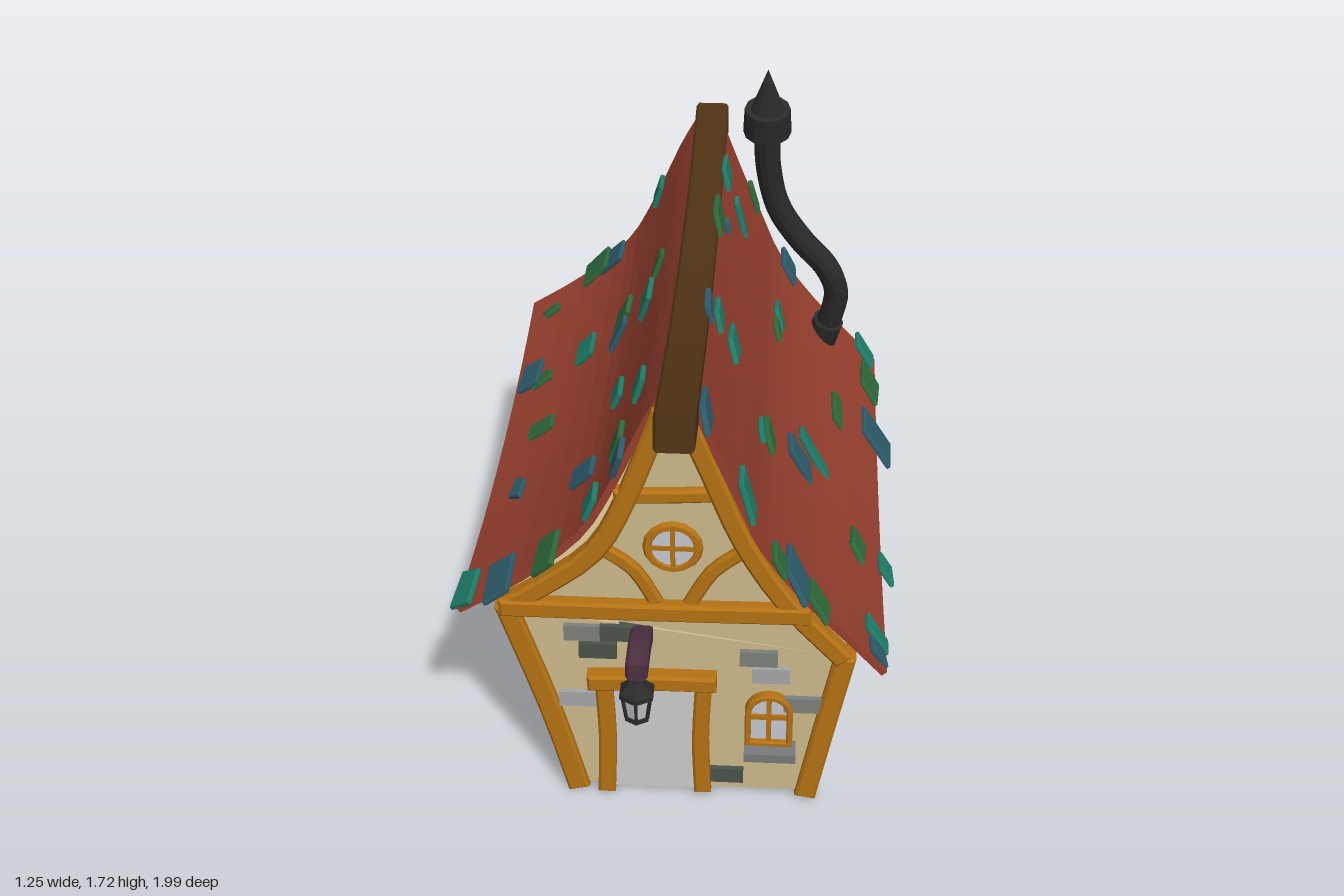
import * as THREE from 'three';

const WOOD = 0xb47214, RED = 0x963f2e, DARK = 0x4f3315, WALL = 0xcbb98c, METAL = 0x2b2b2c, GLASS = 0xc4c7cc;
const STONE = [0x4b534a, 0x7d817a, 0xa6a6a9];
const TILE = [0x1f7f6a, 0x2f6b3c, 0x2e5d6c];
const mats = {};
const mat = (c) => (mats[c] ??= new THREE.MeshStandardMaterial({ color: c, flatShading: true, side: THREE.DoubleSide }));

function add(parent, name, geo, color, x = 0, y = 0, z = 0) {
  const m = new THREE.Mesh(geo, mat(color));
  m.name = name;
  m.position.set(x, y, z);
  parent.add(m);
  return m;
}
const box = (w, h, d) => new THREE.BoxGeometry(w, h, d);
const cyl = (a, b, h, n) => new THREE.CylinderGeometry(a, b, h, n);
const polygon = (pts) => new THREE.Shape(pts.map((p) => new THREE.Vector2(...p)));

// Slab of a shape, centred on z
function slab(shape, depth, bevel = 0, steps = 1) {
  const g = new THREE.ExtrudeGeometry(shape, {
    depth: depth - 2 * bevel, steps, curveSegments: 8,
    bevelEnabled: bevel > 0, bevelSize: bevel, bevelThickness: bevel, bevelOffset: -bevel, bevelSegments: 1,
  });
  return g.translate(0, 0, -depth / 2 + bevel);
}

// Bent plank following a line of points in the xy plane
function beam(pts, width, depth, bevel = 0.008, steps = 1) {
  const curve = new THREE.SplineCurve(pts.map((p) => new THREE.Vector2(...p)));
  const n = pts.length > 2 ? (pts.length - 1) * 3 : 1, a = [], b = [];
  for (let i = 0; i <= n; i++) {
    const p = curve.getPoint(i / n), t = curve.getTangent(i / n);
    a.push([p.x - t.y * width / 2, p.y + t.x * width / 2]);
    b.unshift([p.x + t.y * width / 2, p.y - t.x * width / 2]);
  }
  return slab(polygon([...a, ...b]), depth, bevel, steps);
}

// Interpolate column `out` of a point list from column `key`
function lookup(pts, key, v) {
  const out = 1 - key;
  for (let i = 0; i < pts.length - 1; i++) {
    const [p, q] = [pts[i], pts[i + 1]];
    const t = (v - p[key]) / (q[key] - p[key]);
    if ((t >= 0 && t <= 1) || i === pts.length - 2) return { v: p[out] + (q[out] - p[out]) * Math.min(t, 1.1), p, q };
    if (i === 0 && t < 0) return { v: p[out], p, q };
  }
}

const FRONT = 0.76, BACK = -0.88;
const wallR = [[0.37, 0.015], [0.42, 0.29], [0.47, 0.51]];
const wallL = [[-0.28, 0.015], [-0.36, 0.33], [-0.465, 0.64]];
const rafterR = [[0.02, 1.3], [0.1, 1.1], [0.18, 0.9], [0.3, 0.7], [0.465, 0.51]];
const rafterL = [[-0.03, 1.3], [-0.12, 1.04], [-0.215, 0.85], [-0.37, 0.72], [-0.47, 0.655]];
const roofR = [[0.045, 1.36], [0.11, 1.19], [0.17, 1.05], [0.24, 0.89], [0.36, 0.725], [0.48, 0.595], [0.575, 0.49]];
const roofL = [[-0.025, 1.36], [-0.08, 1.26], [-0.17, 1.06], [-0.26, 0.905], [-0.42, 0.76], [-0.595, 0.645]];
const sag = (z) => 0.07 * (1 - (z / 0.85) ** 2);

function archWindow(w, h) {
  const g = new THREE.Group();
  const arch = (r, bottom) => {
    const s = new THREE.Shape();
    s.moveTo(-r, bottom).lineTo(r, bottom).lineTo(r, h - w / 2);
    s.absarc(0, h - w / 2, r, 0, Math.PI, false);
    return s;
  };
  const t = w * 0.13, frame = arch(w / 2, 0);
  add(g, 'windowGlass', slab(arch(w / 2 - t / 2, t / 2), 0.012), GLASS);
  frame.holes.push(arch(w / 2 - t, t));
  add(g, 'windowFrame', slab(frame, 0.045, 0.004), WOOD);
  add(g, 'windowBar', box(t * 0.8, h - t, 0.03), WOOD, 0, h / 2);
  add(g, 'windowBar', box(w - t, t * 0.8, 0.03), WOOD, 0, h * 0.55);
  add(g, 'windowSill', box(w * 1.08, 0.028, 0.08), 0x77797a, 0.005, -0.01, 0.02);
  return g;
}

function roundWindow() {
  const g = new THREE.Group();
  add(g, 'roundGlass', new THREE.CircleGeometry(0.07, 16), GLASS, 0, 0, 0.006);
  add(g, 'roundFrame', new THREE.TorusGeometry(0.068, 0.014, 6, 16), WOOD);
  add(g, 'roundBar', box(0.013, 0.13, 0.022), WOOD);
  add(g, 'roundBar', box(0.13, 0.013, 0.022), WOOD);
  return g;
}

export function createModel() {
  const house = new THREE.Group();
  house.name = 'cottage';

  // Plaster body and the two gable panels
  add(house, 'walls', slab(polygon([...wallR, ...[...wallL].reverse()]), FRONT - BACK), WALL, 0, 0, (FRONT + BACK) / 2);
  const gable = polygon([...rafterL].reverse().concat(rafterR));
  for (const z of [FRONT - 0.02, BACK + 0.02]) add(house, 'gablePanel', slab(gable, 0.04), WALL, 0, 0, z);

  // Timber frame at each end
  for (const [z, s] of [[FRONT, 1], [BACK, -1]]) {
    const timber = new THREE.Group();
    timber.name = s > 0 ? 'frontTimber' : 'backTimber';
    timber.position.z = z;
    house.add(timber);
    add(timber, 'cornerPost', beam([[0.37, 0], [0.42, 0.27], [0.468, 0.52]], 0.06, 0.08), WOOD, 0, 0, -0.018 * s);
    add(timber, 'cornerPost', beam([[-0.28, 0], [-0.355, 0.3], [-0.465, 0.66]], 0.062, 0.08), WOOD, 0, 0, -0.018 * s);
    add(timber, 'rafter', beam(rafterR, 0.055, 0.05), WOOD, 0, 0, 0.005 * s);
    add(timber, 'rafter', beam(rafterL, 0.055, 0.05), WOOD, 0, 0, 0.005 * s);
    add(timber, 'tieBeam', beam([[-0.48, 0.66], [-0.05, 0.66], [0.37, 0.665]], 0.055, 0.06), WOOD, 0, 0, 0.006 * s);
    add(timber, 'collarBeam', beam([[-0.16, 1.03], [-0.02, 1.035], [0.12, 1.045]], 0.042, 0.045), WOOD);
    add(timber, 'brace', beam([[-0.2, 0.86], [-0.11, 0.79], [-0.05, 0.68]], 0.04, 0.04), WOOD);
    add(timber, 'brace', beam([[0.18, 0.86], [0.1, 0.79], [0.04, 0.68]], 0.04, 0.04), WOOD);
    const win = roundWindow();
    win.name = 'roundWindow';
    win.position.set(-0.005, 0.87, 0.008 * s);
    win.rotation.y = s > 0 ? 0 : Math.PI;
    timber.add(win);
  }

  // Door with its frame
  add(house, 'door', box(0.25, 0.39, 0.02), 0xcccccc, -0.06, 0.21, FRONT);
  add(house, 'doorPost', beam([[-0.2, 0], [-0.193, 0.2], [-0.2, 0.4]], 0.05, 0.06), WOOD, 0, 0, FRONT);
  add(house, 'doorPost', beam([[0.077, 0.01], [0.07, 0.2], [0.078, 0.4]], 0.048, 0.06), WOOD, 0, 0, FRONT);
  add(house, 'doorLintel', beam([[-0.245, 0.412], [-0.06, 0.42], [0.115, 0.42]], 0.052, 0.075), WOOD, 0, 0, FRONT + 0.006);

  // Arched windows
  const small = archWindow(0.135, 0.185), large = archWindow(0.25, 0.35);
  small.name = 'frontWindow';
  small.position.set(0.262, 0.195, FRONT + 0.005);
  large.name = 'backWindow';
  large.position.set(-0.01, 0.14, BACK - 0.005);
  large.rotation.y = Math.PI;
  house.add(small, large);

  // Stones set in the plaster: position, shade
  const frontStones = [[-0.255, 0.57, 1], [-0.215, 0.51, 0], [-0.155, 0.572, 0], [-0.275, 0.335, 2], [0.23, 0.5, 1], [0.265, 0.442, 2], [0.355, 0.34, 1], [0.14, 0.07, 0]];
  const backStones = [[0.24, 0.54, 0], [0.29, 0.48, 2], [0.2, 0.48, 1], [-0.24, 0.56, 1], [-0.29, 0.5, 0], [-0.2, 0.5, 2], [0.24, 0.27, 2], [0.28, 0.21, 0], [-0.22, 0.29, 1], [-0.2, 0.09, 0]];
  for (const [x, y, c] of frontStones) add(house, 'stone', box(0.105, 0.05, 0.03), STONE[c], x, y, FRONT);
  for (const [x, y, c] of backStones) add(house, 'stone', box(0.1, 0.05, 0.03), STONE[c], x, y, BACK);
  const sideStones = [[0.62, 0.36, 0], [0.5, 0.36, 0], [0.585, 0.3, 2], [0.63, 0.13, 0], [0.14, 0.29, 1], [0.1, 0.23, 0], [-0.01, 0.13, 2], [-0.24, 0.295, 0], [-0.3, 0.1, 1], [-0.57, 0.235, 1], [-0.615, 0.175, 2], [-0.56, 0.085, 0]];
  for (const wall of [wallR, wallL]) {
    for (const [z, y, c] of sideStones) {
      const { v, p, q } = lookup(wall, 1, y);
      const m = add(house, 'stone', box(0.03, 0.05, 0.11), STONE[c], v, y, z);
      m.rotation.z = -Math.atan2(q[0] - p[0], q[1] - p[1]);
    }
  }

  // Sagging roof sheets
  for (const [pts, z0, z1] of [[roofR, -0.87, 0.79], [roofL, -0.91, 0.77]]) {
    const g = beam(pts, 0.02, z1 - z0, 0, 10).translate(0, 0, (z0 + z1) / 2), p = g.attributes.position;
    for (let i = 0; i < p.count; i++) p.setY(i, p.getY(i) - sag(p.getZ(i)));
    g.computeVertexNormals();
    add(house, 'roofSheet', g, RED);
  }
  const ridge = beam([[0.955, 1.345], [0.6, 1.295], [0.2, 1.26], [-0.35, 1.26], [-0.7, 1.3], [-0.985, 1.345]], 0.1, 0.105);
  add(house, 'ridgeBeam', ridge.rotateY(-Math.PI / 2), DARK, 0.012);

  // Loose shingles: z, height (right) or x (left), length along z, length down the slope, shade
  const rightTiles = [[0.25, 1.31, 0.13, 0.06, 2], [0.16, 1.23, 0.11, 0.06, 0], [0.13, 1.12, 0.1, 0.06, 0], [0.27, 0.92, 0.1, 0.04, 0], [0.22, 0.87, 0.09, 0.07, 1], [0.115, 0.72, 0.13, 0.14, 2], [0, 0.66, 0.08, 0.17, 0], [0.27, 0.52, 0.1, 0.05, 1], [0.25, 0.42, 0.11, 0.07, 0],
    [-0.31, 1.31, 0.13, 0.07, 1], [-0.38, 1.24, 0.07, 0.04, 2], [-0.42, 0.86, 0.08, 0.05, 1], [-0.5, 0.86, 0.07, 0.06, 0], [-0.37, 0.59, 0.18, 0.05, 1], [-0.43, 0.45, 0.16, 0.15, 2], [-0.58, 1.17, 0.08, 0.13, 0], [-0.63, 1.3, 0.13, 0.07, 0], [-0.69, 0.5, 0.15, 0.08, 1], [-0.84, 0.86, 0.14, 0.09, 2],
    [-0.84, 0.54, 0.1, 0.09, 0], [-0.83, 1.12, 0.07, 0.11, 1], [0.76, 1.03, 0.11, 0.12, 0], [0.77, 0.78, 0.13, 0.1, 2], [0.8, 0.85, 0.11, 0.07, 1], [0.78, 0.7, 0.1, 0.08, 1], [0.75, 0.51, 0.09, 0.08, 2], [0.66, 0.5, 0.08, 0.1, 0], [0.78, 1.3, 0.11, 0.06, 2]];
  const leftTiles = [[-0.78, -0.51, 0.08, 0.08, 1], [-0.87, -0.36, 0.16, 0.12, 1], [-0.85, -0.3, 0.12, 0.09, 2], [-0.84, -0.14, 0.14, 0.09, 0], [-0.45, -0.54, 0.16, 0.08, 2], [-0.39, -0.5, 0.09, 0.1, 1], [-0.4, -0.35, 0.15, 0.08, 0], [-0.38, -0.22, 0.1, 0.1, 1], [-0.29, -0.23, 0.09, 0.13, 2], [-0.19, -0.13, 0.14, 0.09, 0], [-0.28, -0.1, 0.1, 0.1, 1],
    [-0.09, -0.46, 0.09, 0.1, 1], [0.22, -0.49, 0.09, 0.03, 2], [0.16, -0.19, 0.14, 0.07, 0], [0.41, -0.27, 0.1, 0.09, 2], [0.45, -0.1, 0.13, 0.1, 0], [0.58, -0.15, 0.11, 0.1, 1], [0.7, -0.57, 0.15, 0.06, 0], [0.75, -0.47, 0.2, 0.1, 2], [0.78, -0.33, 0.16, 0.08, 1], [0.74, -0.21, 0.14, 0.09, 0], [0.76, -0.13, 0.12, 0.08, 2]];
  for (const [list, pts, side] of [[rightTiles, roofR, 1], [leftTiles, roofL, -1]]) {
    list.forEach(([z, k, w, h, c], i) => {
      const s = sag(z), f = lookup(pts, side > 0 ? 1 : 0, side > 0 ? k + s : k);
      const x = side > 0 ? f.v : k, y = side > 0 ? k : f.v - s;
      const up = new THREE.Vector3(f.p[0] - f.q[0], f.p[1] - f.q[1], 0).normalize();
      const out = new THREE.Vector3(side * up.y, -side * up.x, 0);
      const lean = ((i * 7) % 5 - 2) * 0.009;
      const geo = slab(polygon([[-w / 2 - lean, -h / 2], [w / 2 - 0.02, -h / 2 - lean], [w / 2 + lean, h / 2], [-w / 2 + 0.02, h / 2 + lean / 2]]), 0.016, 0.003);
      const m = add(house, 'shingle', geo, TILE[c]);
      m.matrixAutoUpdate = true;
      m.quaternion.setFromRotationMatrix(new THREE.Matrix4().makeBasis(up.clone().cross(out), up, out));
      m.rotateX(0.12);
      m.position.set(x, y, z).addScaledVector(out, 0.02);
    });
  }

  // Crooked stove pipe, leaning forward
  const pipe = new THREE.Group();
  pipe.name = 'stovePipe';
  house.add(pipe);
  const lean = (x, y) => new THREE.Vector3(x, y, -0.74 + 0.235 * (y - 0.68));
  const path = [[0.395, 0.66], [0.425, 0.77], [0.435, 0.86], [0.4, 0.96], [0.315, 1.07], [0.24, 1.2], [0.205, 1.36], [0.2, 1.52]].map((p) => lean(...p));
  add(pipe, 'pipe', new THREE.TubeGeometry(new THREE.CatmullRomCurve3(path), 32, 0.04, 12), METAL);
  const piece = (name, geo, x, y, tilt) => {
    const m = add(pipe, name, geo, METAL);
    m.position.copy(lean(x, y));
    m.rotation.set(0.23, 0, tilt);
  };
  piece('pipeCollar', cyl(0.052, 0.052, 0.09, 12), 0.403, 0.69, -0.25);
  piece('pipeCap', cyl(0.07, 0.074, 0.085, 12), 0.2, 1.53, 0);
  piece('pipeTip', cyl(0, 0.052, 0.145, 12), 0.2, 1.64, 0);

  // Hanging lantern on its bracket
  const lantern = new THREE.Group();
  lantern.name = 'lantern';
  lantern.position.set(-0.092, 0, 0.945);
  house.add(lantern);
  const arm = beam([[-0.19, 0.565], [-0.09, 0.59], [0.01, 0.588]], 0.055, 0.06);
  add(lantern, 'bracket', arm.rotateY(-Math.PI / 2), 0x4d3040);
  add(lantern, 'lanternGlass', cyl(0.042, 0.031, 0.075, 6), GLASS, 0, 0.476);
  add(lantern, 'lanternBase', cyl(0.036, 0.036, 0.014, 6), METAL, 0, 0.435);
  add(lantern, 'lanternRim', cyl(0.052, 0.052, 0.014, 6), METAL, 0, 0.516);
  add(lantern, 'lanternHood', cyl(0.018, 0.05, 0.035, 6), METAL, 0, 0.54);
  for (let i = 0; i < 6; i++) {
    const a = (i * Math.PI) / 3;
    const bar = add(lantern, 'lanternBar', box(0.008, 0.08, 0.008), METAL, Math.sin(a) * 0.038, 0.476, Math.cos(a) * 0.038);
    bar.rotation.set(0.14, a, 0, 'YXZ');
  }
  return house;
}
